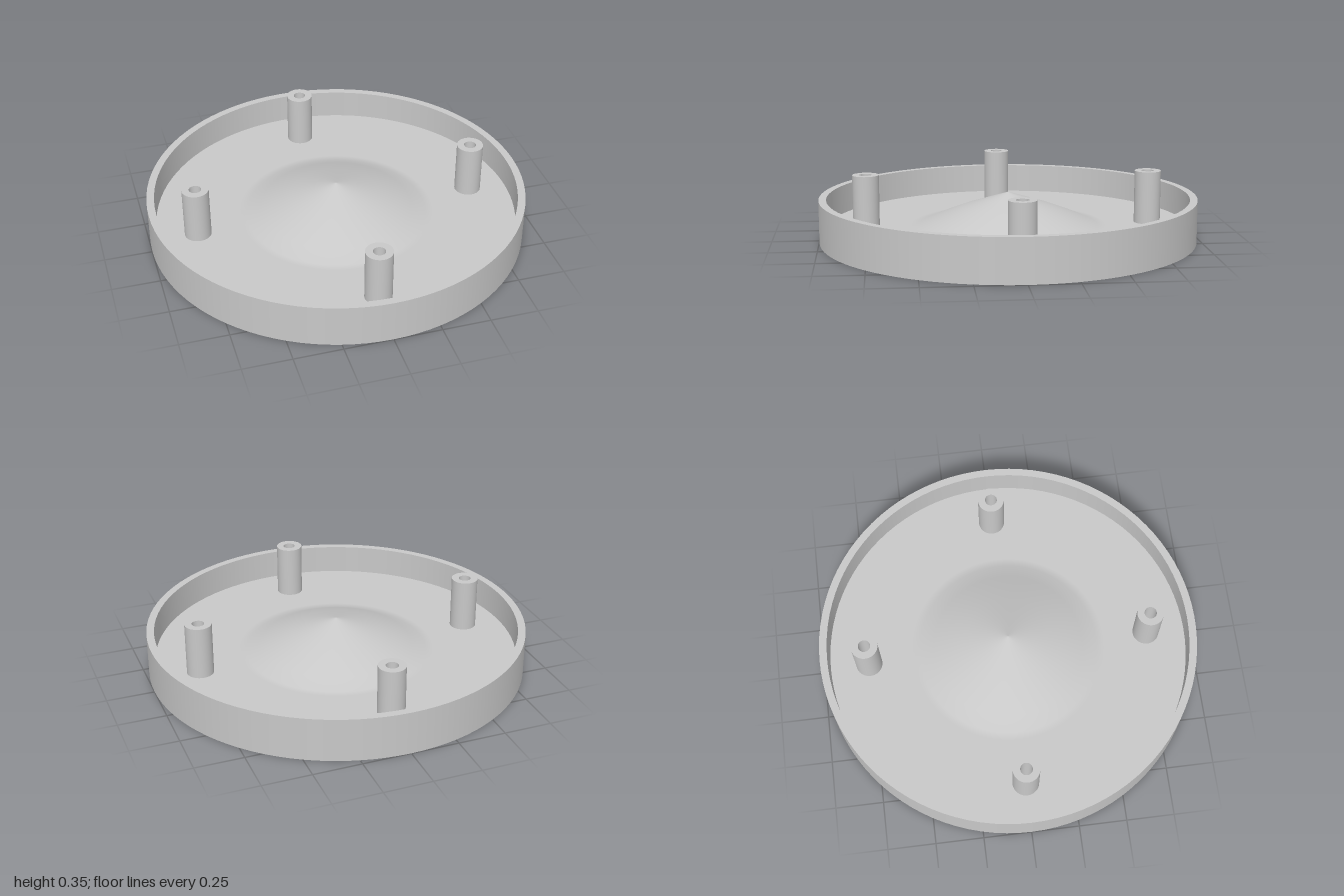
import * as THREE from 'three';
import { mergeGeometries } from 'three/addons/utils/BufferGeometryUtils.js';

const RIM = 0.227, FLOOR = 0.07, INNER = 0.96;
const POST_TOP = 0.35, POST_R = 0.07, BORE_R = 0.032, SCREW_R = 0.055, SCREW_DEPTH = 0.055;
const FOOT_R = 0.0925, FOOT_DEPTH = 0.02;
const CONE_FOOT = 0.52;

const lathe = (profile, segments) =>
  new THREE.LatheGeometry(profile.map(([r, y]) => new THREE.Vector2(r, y)), segments);

// Lathe whose profile corners stay sharp: one strip per profile segment
function sharpLathe(profile, segments) {
  const strips = [];
  for (let i = 0; i < profile.length - 1; i++) strips.push(lathe(profile.slice(i, i + 2), segments));
  return mergeGeometries(strips);
}

// Disc with round holes, each given as [x, y, radius]
function holedDisc(radius, holes) {
  const shape = new THREE.Shape().absarc(0, 0, radius, 0, Math.PI * 2);
  for (const [x, y, r] of holes) {
    shape.holes.push(new THREE.Path().absarc(x, y, r, 0, Math.PI * 2, true));
  }
  return new THREE.ShapeGeometry(shape, 48);
}

// Points [x, z] spread evenly on a circle
function around(count, radius, startDegrees) {
  return Array.from({ length: count }, (_, i) => {
    const a = THREE.MathUtils.degToRad(startDegrees) + (i * Math.PI * 2) / count;
    return [radius * Math.cos(a), -radius * Math.sin(a)];
  });
}

export function createModel() {
  const group = new THREE.Group();
  const grey = new THREE.MeshStandardMaterial({ color: 0xc8c8c8 });
  grey.name = 'plain grey';

  const add = (name, geometry, x = 0, z = 0) => {
    const mesh = new THREE.Mesh(geometry, grey);
    mesh.name = name;
    mesh.position.set(x, 0, z);
    group.add(mesh);
  };

  const posts = around(4, 0.752, 0);
  const feet = around(3, 0.7, 45);

  // Round outer wall with its rim
  add('wall', sharpLathe([[1, 0], [1, RIM], [INNER, RIM], [INNER, FLOOR]], 96));

  // Inner floor, open under the posts, rising into a shallow cone in the middle
  const floor = holedDisc(INNER, [...posts.map(([x, z]) => [x, -z, POST_R]), [0, 0, CONE_FOOT]]);
  floor.rotateX(-Math.PI / 2).translate(0, FLOOR, 0);
  const cone = lathe([
    [CONE_FOOT, FLOOR], [0.48, FLOOR], [0.4, 0.107], [0.24, 0.17], [0.07, 0.225], [0, 0.247],
  ], 96);
  add('floorWithCone', mergeGeometries([floor, cone]));

  // Underside with screw holes and foot recesses
  const underside = holedDisc(1, [
    ...posts.map(([x, z]) => [x, z, SCREW_R]),
    ...feet.map(([x, z]) => [x, z, FOOT_R]),
  ]);
  add('underside', underside.rotateX(Math.PI / 2));

  // Hollow posts, bored through to wider screw holes below
  const post = sharpLathe([
    [POST_R, FLOOR], [POST_R, POST_TOP], [BORE_R, POST_TOP],
    [BORE_R, SCREW_DEPTH], [SCREW_R, SCREW_DEPTH], [SCREW_R, 0],
  ], 96);
  posts.forEach(([x, z]) => add('post', post, x, z));

  // Shallow round recesses for the feet
  const recess = sharpLathe([[0, FOOT_DEPTH], [FOOT_R, FOOT_DEPTH], [FOOT_R, 0]], 96);
  feet.forEach(([x, z]) => add('footRecess', recess, x, z));

  return group;
}
